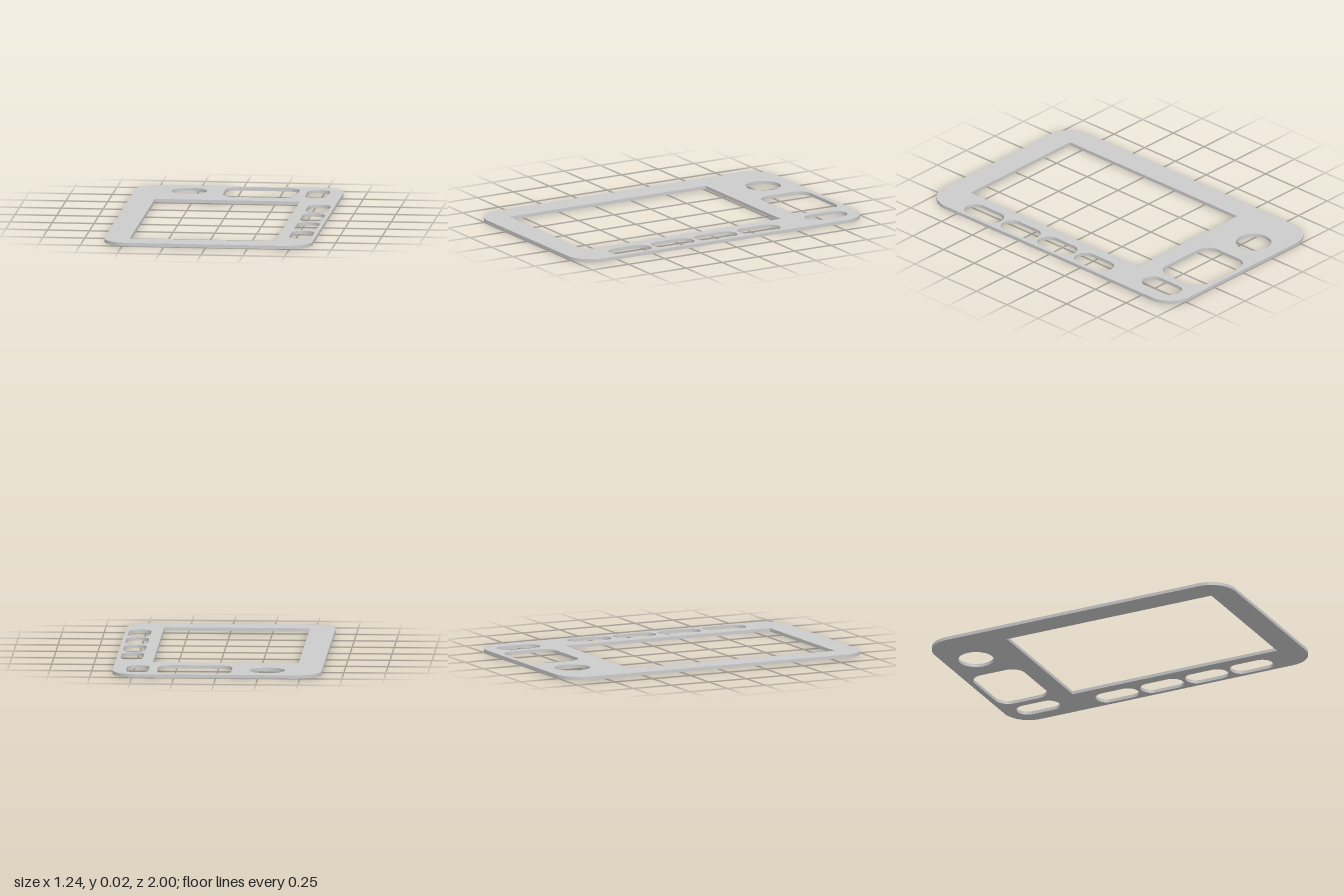
import * as THREE from 'three';
import { toCreasedNormals } from 'three/addons/utils/BufferGeometryUtils.js';

const THICKNESS = 0.02;

// Traces a rounded rectangle given by its x and z limits; shape y is -z.
function roundedRect(path, x0, x1, z0, z1, r) {
  const y0 = -z1, y1 = -z0;
  if (r === 0) {
    path.moveTo(x0, y0).lineTo(x1, y0).lineTo(x1, y1).lineTo(x0, y1).closePath();
    return path;
  }
  const q = Math.PI / 2;
  path.moveTo(x0 + r, y0);
  path.absarc(x1 - r, y0 + r, r, -q, 0, false);
  path.absarc(x1 - r, y1 - r, r, 0, q, false);
  path.absarc(x0 + r, y1 - r, r, q, 2 * q, false);
  path.absarc(x0 + r, y0 + r, r, 2 * q, 3 * q, false);
  return path;
}

export function createModel() {
  const group = new THREE.Group();
  group.name = 'facePlate';

  const plate = roundedRect(new THREE.Shape(), -0.622, 0.622, -1, 1, 0.16);
  const cut = (...limits) => plate.holes.push(roundedRect(new THREE.Path(), ...limits));

  // Large display window
  cut(-0.47, 0.397, -0.515, 0.845, 0);

  // Top row: round hole, rounded window, upright slot
  plate.holes.push(new THREE.Path().absarc(-0.297, 0.808, 0.106, 0, Math.PI * 2, false));
  cut(-0.086, 0.356, -0.966, -0.632, 0.085);
  cut(0.407, 0.541, -0.92, -0.645, 0.066);

  // Column of four button slots
  for (let i = 0; i < 4; i++) {
    const z = -0.285 + i * 0.298;
    cut(0.464, 0.598, z - 0.137, z + 0.137, 0.066);
  }

  const geometry = new THREE.ExtrudeGeometry(plate, {
    depth: THICKNESS, bevelEnabled: false, curveSegments: 16,
  });
  geometry.rotateX(-Math.PI / 2);

  const mesh = new THREE.Mesh(
    toCreasedNormals(geometry, Math.PI / 6),
    new THREE.MeshStandardMaterial({ color: 0xcccccc }),
  );
  mesh.name = 'plate';
  group.add(mesh);
  return group;
}
